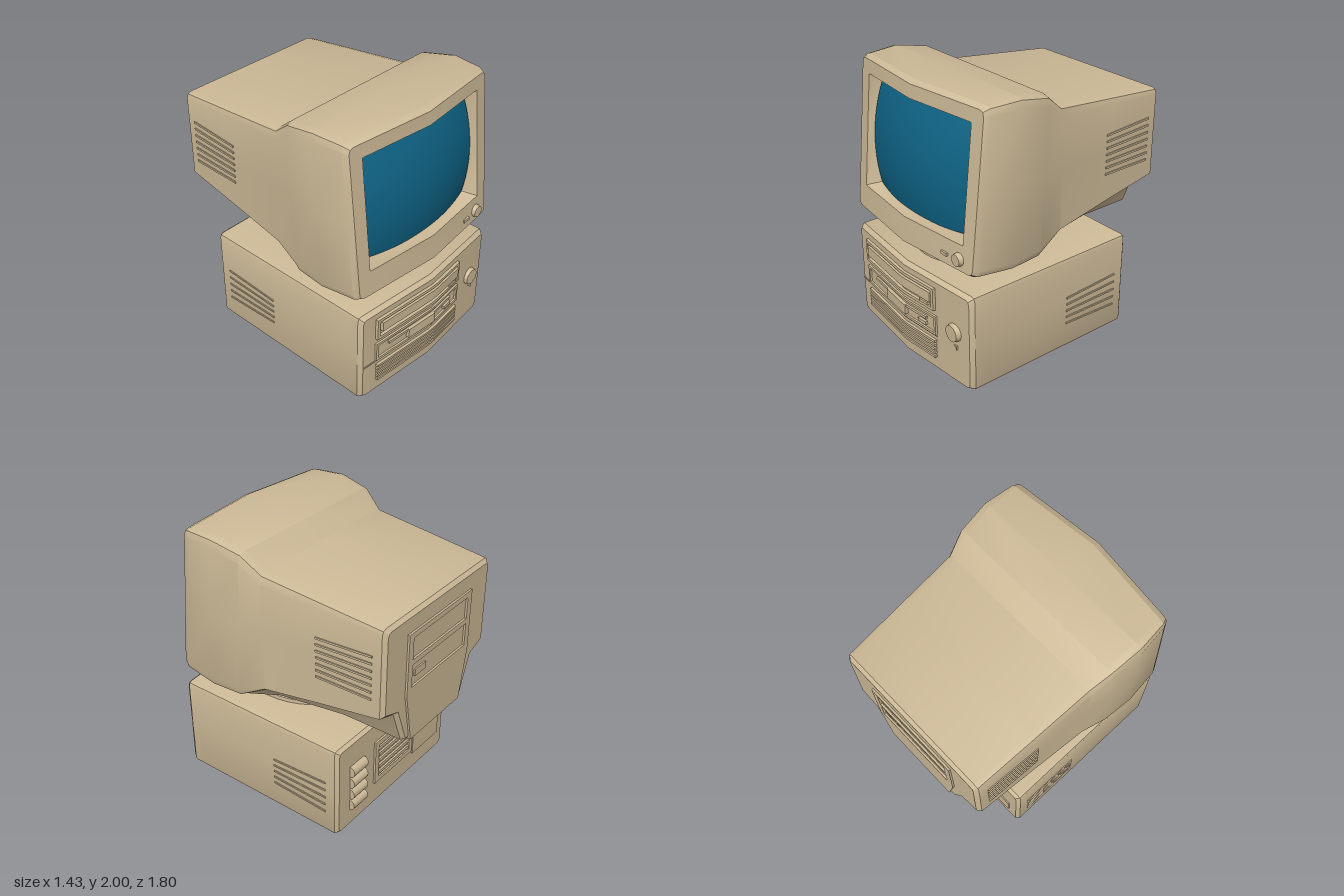
import * as THREE from 'three';
import { toCreasedNormals } from 'three/addons/utils/BufferGeometryUtils.js';

const beige = new THREE.MeshStandardMaterial({ color: 0xcdba97 });
beige.name = 'beige plastic';
const blue = new THREE.MeshStandardMaterial({ color: 0x0f6587 });
blue.name = 'blue glass';

// Bowed fronts of case and monitor, and the bulging glass
const caseZ = (x) => 0.81 + 0.06 * (1 - Math.abs(x) / 0.67);
const bezelZ = (x, y) => 0.885 - 0.1 * y + 0.07 * (1 - Math.abs(x) / 0.67);
const glassZ = (x, y) => {
  const t = y - 1.45;
  return 0.8 - 0.06 * t - 0.38 * t * t - 0.3 * x * x;
};

function add(parent, name, geometry, x = 0, y = 0, z = 0, material = beige) {
  const mesh = new THREE.Mesh(geometry, material);
  mesh.name = name;
  mesh.position.set(x, y, z);
  parent.add(mesh);
  return mesh;
}

// Symmetric cross-section; the lower part may step in to a narrower keel
function section(w, top, bottom, z, c = 0.03, keel = {}) {
  const { ys = bottom + c, kw = w - c * 0.25, yk = bottom + c * 0.3, kx = w - c } = keel;
  const half = [[0, top], [w - c, top], [w - c * 0.25, top - c * 0.25], [w, top - c],
    [w, (top + ys) / 2], [w, ys], [kw, yk], [kx, bottom], [0, bottom]];
  const left = half.slice(1, -1).reverse().map(([x, y]) => [-x, y]);
  return [...half, ...left].map(([x, y]) => [x, y, typeof z === 'function' ? z(x, y) : z]);
}

// Skin over sections running front to back
function loft(loops, frontCap) {
  const n = loops[0].length, pos = loops.flat(2), idx = [];
  for (let i = 0; i < loops.length - 1; i++) {
    for (let j = 0; j < n; j++) {
      const k = (j + 1) % n, a = i * n + j, b = i * n + k;
      idx.push(a, b, a + n, b, b + n, a + n);
    }
  }
  const cap = (loop, start, z, front) => {
    const mid = pos.length / 3;
    pos.push(0, (loop[0][1] + loop[8][1]) / 2, z);
    for (let j = 0; j < n; j++) {
      const a = start + j, b = start + (j + 1) % n;
      idx.push(mid, front ? b : a, front ? a : b);
    }
  };
  const last = loops[loops.length - 1];
  cap(last, (loops.length - 1) * n, last[0][2], false);
  if (frontCap) cap(loops[0], 0, loops[0][0][2], true);
  const g = new THREE.BufferGeometry();
  g.setAttribute('position', new THREE.Float32BufferAttribute(pos, 3));
  g.setIndex(idx);
  return toCreasedNormals(g, 0.4);
}

// Block given by its x and y limits that follows the bow of the case front
function bowed(parent, name, x0, x1, y0, y1, proud) {
  let g = new THREE.BoxGeometry(x1 - x0, y1 - y0, proud + 0.02, 12, 1, 1);
  g.translate((x0 + x1) / 2, (y0 + y1) / 2, (proud - 0.02) / 2);
  const p = g.attributes.position;
  for (let i = 0; i < p.count; i++) p.setZ(i, p.getZ(i) + caseZ(p.getX(i)));
  add(parent, name, toCreasedNormals(g, 0.4));
}

// Four bars around a bowed opening
function bowedFrame(parent, name, x0, x1, y0, y1, t, proud) {
  bowed(parent, name, x0, x1, y1 - t, y1, proud);
  bowed(parent, name, x0, x1, y0, y0 + t, proud);
  bowed(parent, name, x0, x0 + t, y0 + t, y1 - t, proud);
  bowed(parent, name, x1 - t, x1, y0 + t, y1 - t, proud);
}

function knob(parent, name, r, depth, x, y, z) {
  const g = new THREE.CylinderGeometry(r * 0.85, r, depth, 24).rotateX(Math.PI / 2);
  add(parent, name, toCreasedNormals(g, 0.6), x, y, z);
}

function buildCase() {
  const g = new THREE.Group();
  g.name = 'computerCase';
  add(g, 'caseShell', loft([
    section(0.65, 0.7, 0.015, caseZ),
    section(0.672, 0.725, 0, (x) => caseZ(x) - 0.03),
    section(0.672, 0.725, 0, 0.7),
    section(0.672, 0.725, 0, -0.555),
    section(0.65, 0.705, 0.02, -0.58),
  ], true));

  // Upper drive bay
  bowedFrame(g, 'discDriveFrame', -0.54, 0.32, 0.485, 0.655, 0.022, 0.022);
  bowed(g, 'discTray', -0.5, 0.295, 0.545, 0.62, 0.03);
  bowed(g, 'discDriveButton', 0.19, 0.27, 0.512, 0.532, 0.03);
  // Floppy drive
  bowedFrame(g, 'floppyDriveFrame', -0.54, 0.33, 0.29, 0.44, 0.018, 0.015);
  bowed(g, 'floppySlot', -0.42, 0.23, 0.375, 0.395, 0.015);
  bowed(g, 'floppyGrip', -0.24, 0.02, 0.32, 0.395, 0.025);
  bowed(g, 'floppyButton', 0.15, 0.23, 0.33, 0.355, 0.02);
  bowed(g, 'frontSeam', -0.65, 0.33, 0.277, 0.284, 0.006);
  // Front ventilation slats
  for (let i = 0; i < 5; i++) {
    bowed(g, 'frontVent', -0.53, 0.32, 0.105 + i * 0.031, 0.123 + i * 0.031, 0.02);
  }
  knob(g, 'powerButton', 0.07, 0.05, 0.505, 0.4, caseZ(0.505) + 0.005);
  const tri = new THREE.Shape([[-0.015, 0.015], [0.015, -0.015], [0.015, 0.015]].map((p) => new THREE.Vector2(...p)));
  add(g, 'indicator', new THREE.ExtrudeGeometry(tri, { depth: 0.012, bevelEnabled: false }), 0.52, 0.29, caseZ(0.52) - 0.002);

  // Slightly fanned slats on both sides
  for (const s of [-1, 1]) {
    for (let i = 0; i < 5; i++) {
      const m = add(g, 'sideVent', new THREE.BoxGeometry(0.016, 0.012, 0.46), s * 0.671, 0.19 + i * 0.057, -0.25);
      m.rotation.x = (i - 2) * 0.025;
    }
  }

  // Rear connectors, fan grille and blank cover
  for (let i = 0; i < 4; i++) {
    const c = new THREE.CylinderGeometry(0.04, 0.04, 0.16, 12).rotateZ(Math.PI / 2);
    c.scale(1, 1.1, 1);
    add(g, 'rearSocket', toCreasedNormals(c, 0.7), 0.45, 0.19 + i * 0.097, -0.58);
  }
  const frame = new THREE.Shape().moveTo(-0.25, 0.2).lineTo(0.22, 0.2).lineTo(0.22, 0.56).lineTo(-0.25, 0.56);
  frame.holes.push(new THREE.Path().moveTo(-0.21, 0.24).lineTo(-0.21, 0.52).lineTo(0.18, 0.52).lineTo(0.18, 0.24));
  add(g, 'grilleFrame', new THREE.ExtrudeGeometry(frame, { depth: 0.02, bevelEnabled: false }), 0.03, 0, -0.595);
  for (let i = 0; i < 5; i++) {
    add(g, 'grilleSlat', new THREE.BoxGeometry(0.38, 0.025, 0.03), 0.015, 0.27 + i * 0.055, -0.58);
  }
  add(g, 'rearCover', new THREE.BoxGeometry(0.34, 0.18, 0.02), -0.41, 0.25, -0.58);
  return g;
}

function buildMonitor() {
  const g = new THREE.Group();
  g.name = 'monitor';
  const tilt = (z) => (x, y) => z + 0.06 * (1.4 - y);
  const keel = (ys, kw, yk, kx) => ({ ys, kw, yk, kx });
  add(g, 'monitorHousing', loft([
    section(0.53, 1.85, 1.07, (x, y) => glassZ(x, y) - 0.015, 0.02),
    section(0.57, 1.875, 1.063, bezelZ, 0.008),
    section(0.67, 1.97, 0.885, bezelZ, 0.04),
    section(0.69, 1.99, 0.862, (x, y) => bezelZ(x, y) - 0.04, 0.05),
    section(0.715, 2.0, 0.835, tilt(0.46), 0.06),
    section(0.697, 1.955, 0.83, tilt(0.225), 0.07),
    section(0.66, 1.84, 0.83, 0.05, 0.07, keel(0.97, 0.58, 0.93, 0.5)),
    section(0.635, 1.79, 0.82, -0.42, 0.05, keel(1.04, 0.5, 1.0, 0.4)),
    section(0.612, 1.745, 0.79, -0.86, 0.04, keel(1.1, 0.46, 1.05, 0.36)),
    section(0.585, 1.72, 0.8, -0.885, 0.04, keel(1.12, 0.44, 1.07, 0.34)),
  ]));

  // Barrel-shaped glass
  const glass = new THREE.PlaneGeometry(2, 2, 16, 12);
  const p = glass.attributes.position;
  for (let i = 0; i < p.count; i++) {
    const u = p.getX(i), v = p.getY(i);
    const x = u * 0.535 * (1 - 0.045 * v * v), y = 1.46 + v * 0.397 * (1 - 0.05 * u * u);
    p.setXYZ(i, x, y, glassZ(x, y));
  }
  glass.computeVertexNormals();
  add(g, 'screen', glass, 0, 0, 0, blue);

  // Controls on the chin
  knob(g, 'monitorButton', 0.048, 0.04, 0.54, 0.96, bezelZ(0.54, 0.96) + 0.008);
  add(g, 'monitorLight', new THREE.BoxGeometry(0.06, 0.022, 0.025), 0.41, 0.955, bezelZ(0.41, 0.955));

  // Side slats following the taper
  for (const s of [-1, 1]) {
    for (let i = 0; i < 7; i++) {
      const m = add(g, 'monitorVent', new THREE.BoxGeometry(0.016, 0.014, 0.42), s * 0.626, 1.235 + i * 0.05, -0.585);
      m.rotation.set(0.03 * (i - 3) / 3, s * 0.052, 0);
    }
  }

  // Rear plate with two recesses, and the foot under the tail
  const plate = new THREE.Shape().moveTo(-0.3, 0.775).lineTo(0.3, 0.775).lineTo(0.37, 1.15)
    .lineTo(0.37, 1.61).lineTo(-0.37, 1.61).lineTo(-0.37, 1.15);
  for (const [y0, y1] of [[1.2, 1.37], [1.41, 1.57]]) {
    plate.holes.push(new THREE.Path().moveTo(-0.32, y0).lineTo(-0.32, y1).lineTo(0.32, y1).lineTo(0.32, y0));
  }
  add(g, 'rearPlate', new THREE.ExtrudeGeometry(plate, { depth: 0.025, bevelEnabled: false }), 0, 0, -0.9);
  add(g, 'rearSocketBlock', new THREE.BoxGeometry(0.12, 0.05, 0.015), 0.22, 1.29, -0.888);
  add(g, 'tailFoot', new THREE.BoxGeometry(0.6, 0.06, 0.42), 0, 0.805, -0.675);
  add(g, 'tailDisc', new THREE.CylinderGeometry(0.2, 0.18, 0.03, 32), 0, 0.78, -0.67);
  const ring = new THREE.TorusGeometry(0.13, 0.008, 6, 32).rotateX(Math.PI / 2);
  add(g, 'tailRing', ring, 0, 0.767, -0.67);
  return g;
}

export function createModel() {
  const model = new THREE.Group();
  model.name = 'desktopComputer';
  model.add(buildCase(), buildMonitor());

  // Swivel stand between case and monitor
  const outline = [[0, 0.715], [0.49, 0.715], [0.49, 0.755], [0.465, 0.77], [0.465, 0.8], [0.4, 0.845], [0, 0.845]];
  const stand = new THREE.LatheGeometry(outline.map((q) => new THREE.Vector2(...q)), 40);
  stand.scale(0.9, 1, 1);
  add(model, 'swivelStand', toCreasedNormals(stand, 0.5), 0, 0, 0.21);
  return model;
}
